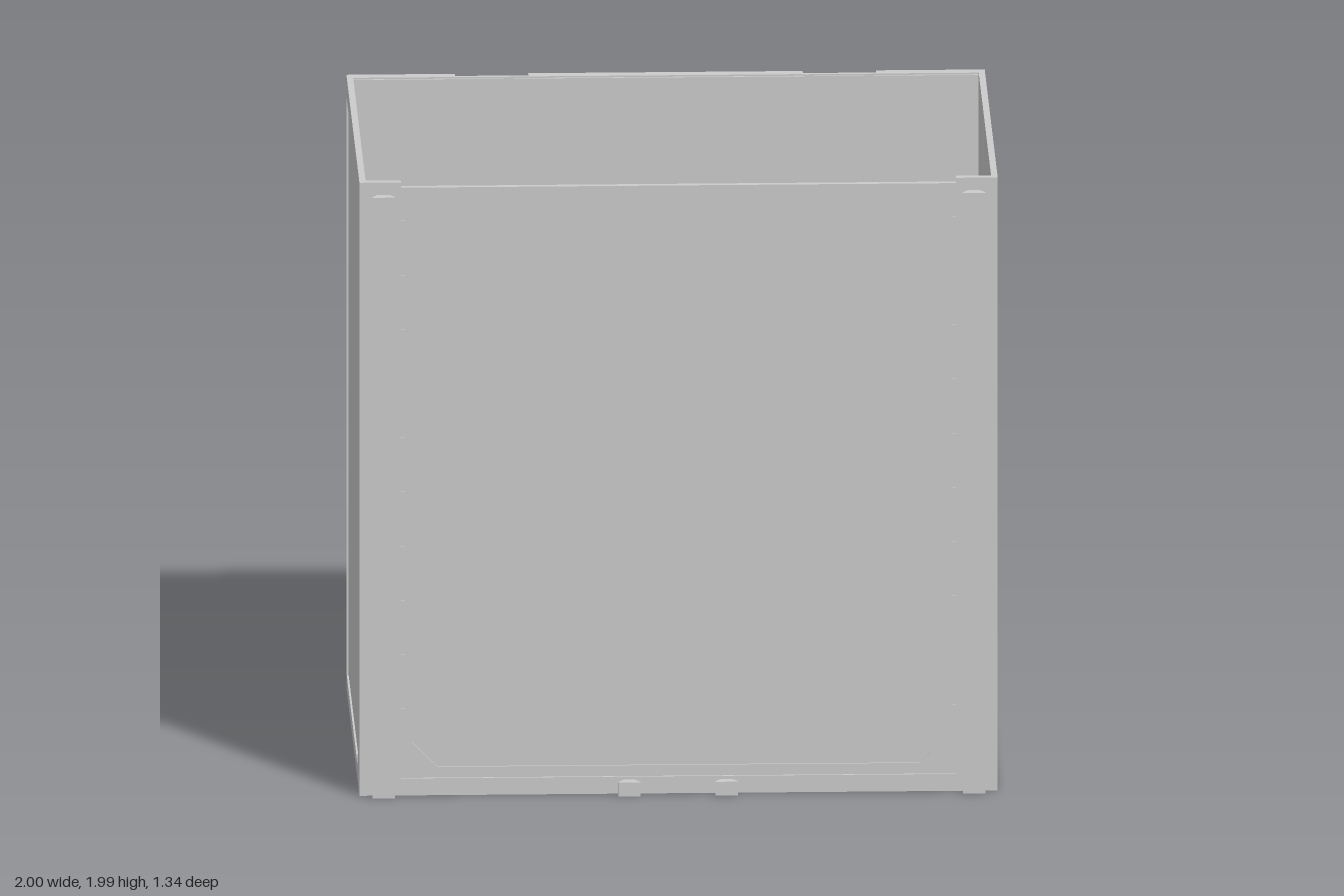
import * as THREE from 'three';

const material = new THREE.MeshStandardMaterial({ color: 0xcccccc, flatShading: true });

// rectangle with cut corners: bottom-left, bottom-right, top-right, top-left
function cutRect(x0, x1, y0, y1, [bl, br, tr, tl]) {
  const pts = [
    [x0, y0 + bl], [x0 + bl, y0], [x1 - br, y0], [x1, y0 + br],
    [x1, y1 - tr], [x1 - tr, y1], [x0 + tl, y1], [x0, y1 - tl],
  ].map(([x, y]) => new THREE.Vector2(x, y));
  return pts.filter((p, i) => p.distanceTo(pts[(i + 1) % pts.length]) > 1e-5);
}

function plate(outline, holes, depth) {
  const shape = new THREE.Shape(outline);
  holes.forEach((h) => shape.holes.push(new THREE.Path(h)));
  return new THREE.ExtrudeGeometry(shape, { depth, bevelEnabled: false });
}

// sloping walls between two outlines, facing into a pocket open towards -z
function pocketWalls(outer, inner, z0, z1) {
  const pos = [];
  outer.forEach((a, i) => {
    const j = (i + 1) % outer.length;
    const b = outer[j], c = inner[i], d = inner[j];
    pos.push(a.x, a.y, z0, c.x, c.y, z1, b.x, b.y, z0);
    pos.push(b.x, b.y, z0, c.x, c.y, z1, d.x, d.y, z1);
  });
  const g = new THREE.BufferGeometry();
  g.setAttribute('position', new THREE.Float32BufferAttribute(pos, 3));
  g.computeVertexNormals();
  return g;
}

export function createModel() {
  const model = new THREE.Group();
  model.name = 'storageBin';
  const add = (name, geometry, x = 0, y = 0, z = 0) => {
    const mesh = new THREE.Mesh(geometry, material);
    mesh.name = name;
    mesh.position.set(x, y, z);
    model.add(mesh);
    return mesh;
  };
  // box given by its limits
  const box = (name, x0, x1, y0, y1, z0, z1) =>
    add(name, new THREE.BoxGeometry(x1 - x0, y1 - y0, z1 - z0), (x0 + x1) / 2, (y0 + y1) / 2, (z0 + z1) / 2);

  box('floor', -1, 1, 0, 0.02, -0.665, 0.635);

  // side walls: a core and an outer skin around a sunken panel, with a slot through both
  const wall = cutRect(-0.65, 0.635, 0, 1.99, [0, 0, 0, 0]);
  const slot = cutRect(0.572, 0.606, 1.82, 1.89, [0.008, 0.008, 0.008, 0.008]);
  for (const side of [1, -1]) {
    const panel = cutRect(-0.62, 0.53, 0.05, 1.92, side > 0 ? [0.1, 0.32, 0.1, 0] : [0, 0.1, 0.1, 0]);
    const core = plate(wall, [slot], 0.014).rotateY(-Math.PI / 2);
    const skin = plate(wall, [slot, panel], 0.006).rotateY(-Math.PI / 2);
    add('sideWall', core, side > 0 ? 0.994 : -0.98);
    add('sideFrame', skin, side > 0 ? 1 : -0.994);
  }

  // front wall: core, stepped frame and surround of the sunken panel
  box('frontWall', -0.88, 0.88, 0.01, 1.97, 0.612, 0.622);
  const c = 0.08;
  add('frontPanelFrame', plate(
    cutRect(-0.87, 0.87, 0.055, 1.965, [0, 0, 0, 0]),
    [cutRect(-0.835, 0.835, 0.09, 1.94, [c, c, c, c])], 0.006), 0, 0, 0.622);
  box('frontSill', -0.88, 0.88, 0, 0.055, 0.615, 0.635);
  box('frontTopEdge', -0.88, 0.88, 1.962, 1.972, 0.612, 0.632);

  // dovetail rails on the corner posts and two short feet
  const dovetail = (name, x, height) => {
    const profile = [[-0.02, 0], [0.02, 0], [0.022, 0.008], [0.035, 0.026], [0.035, 0.035],
      [-0.035, 0.035], [-0.035, 0.026], [-0.022, 0.008]].map(([u, v]) => new THREE.Vector2(u, -v));
    add(name, plate(profile, [], height).rotateX(-Math.PI / 2), x, 0, 0.634);
  };
  for (const s of [-1, 1]) {
    const [a, b] = s > 0 ? [0.87, 0.99] : [-0.99, -0.87];
    box('cornerPost', a, b, 0, 1.99, 0.61, 0.635);
    dovetail('frontRail', s * 0.925, 1.95);
    // small teeth along the inner edge of each post
    for (let i = 0; i < 10; i++) {
      const y = 0.27 + i * 0.176;
      box('postTooth', s * 0.865 - 0.006, s * 0.865 + 0.006, y, y + 0.01, 0.62, 0.633);
    }
  }
  dovetail('frontFoot', -0.155, 0.045);
  dovetail('frontFoot', 0.15, 0.045);

  // back wall: inner sheet, thick ribbed frame, sloping pockets
  box('backInnerWall', -0.985, 0.985, 0.01, 1.98, -0.632, -0.625);
  const pockets = [
    [0.69, 0.96, 1.93], [0.44, 0.66, 1.69], [-0.41, 0.41, 1.93], [-0.66, -0.44, 1.69], [-0.96, -0.69, 1.93],
  ].map(([x0, x1, top]) => ({
    outer: cutRect(x0, x1, 0.04, top, [0.03, 0.03, 0.07, 0.07]),
    inner: cutRect(x0 + 0.045, x1 - 0.045, 0.1, top - 0.05, [0.025, 0.025, 0.05, 0.05]),
  }));
  const backOutline = [
    [-0.995, 0.005], [0.995, 0.005], [0.995, 1.985], [0.66, 1.985], [0.66, 1.73], [0.43, 1.73], [0.43, 1.985],
    [-0.43, 1.985], [-0.43, 1.73], [-0.66, 1.73], [-0.66, 1.985], [-0.995, 1.985],
  ].map(([x, y]) => new THREE.Vector2(x, y));
  add('backFrame', plate(backOutline, pockets.map((p) => p.outer), 0.038), 0, 0, -0.67);
  pockets.forEach((p) => add('backPocket', pocketWalls(p.outer, p.inner, -0.669, -0.632)));

  // hanging notches with a small catch at their lower edge
  for (const x of [-0.545, 0.545]) {
    box('notchPlate', x - 0.116, x + 0.116, 1.72, 1.985, -0.645, -0.63);
    box('notchCatch', x - 0.055, x + 0.055, 1.725, 1.75, -0.665, -0.64);
    for (const s of [-1, 1]) box('notchLip', x + s * 0.107 - 0.008, x + s * 0.107 + 0.008, 1.73, 1.975, -0.66, -0.64);
  }
  return model;
}
